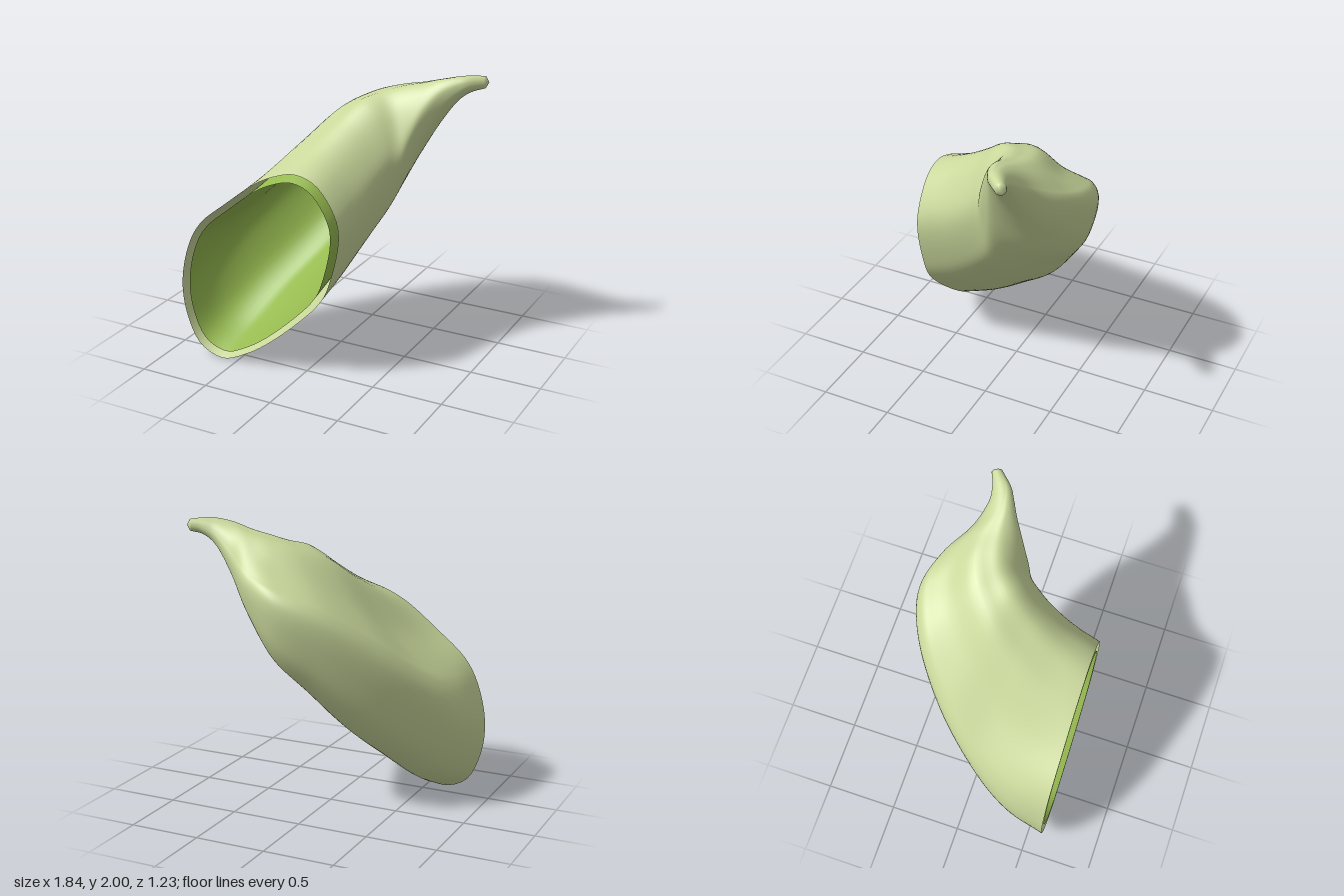
import * as THREE from 'three';

// Opening outline in the front plane (x, y), counter-clockwise from the right
const OPENING = [
  [0.3, 1.05], [0.27, 1.22], [0.15, 1.39], [0, 1.45], [-0.15, 1.42], [-0.33, 1.33],
  [-0.55, 1.16], [-0.75, 0.99], [-0.86, 0.8], [-0.92, 0.54], [-0.9, 0.3], [-0.8, 0.08],
  [-0.62, 0], [-0.45, 0.06], [-0.25, 0.19], [0, 0.41], [0.17, 0.6], [0.25, 0.8],
];

// Outline further back: the same, with a flatter upper left shoulder
const SHOULDER = [[-0.15, 1.38], [-0.33, 1.26], [-0.55, 0.97], [-0.75, 0.76], [-0.86, 0.64], [-0.92, 0.49]];
const BODY = [...OPENING.slice(0, 4), ...SHOULDER, ...OPENING.slice(10)];

// Sections fanning from the opening round to the stem:
// outer edge x, z, inner edge x, z, bottom y, top y, lean (rise towards the back)
const SECTIONS = [
  [-0.92, 0.61, 0.3, 0.61, 0, 1.45, 0],
  [-0.87, 0.33, 0.33, 0.4, 0.12, 1.57, 0.69],
  [-0.74, 0.06, 0.37, 0.23, 0.3, 1.715, 0.69],
  [-0.5, -0.25, 0.41, 0.12, 0.52, 1.875, 0.69],
  [-0.2, -0.5, 0.45, 0.06, 0.79, 1.95, 0.69],
  [0.1, -0.615, 0.5, 0.02, 1.04, 1.975, 0.5],
  [0.35, -0.55, 0.57, -0.04, 1.36, 1.96, 0.2],
  [0.55, -0.4, 0.66, -0.11, 1.62, 1.975, 0],
  [0.7, -0.33, 0.75, -0.165, 1.8, 1.995, 0],
  [0.8, -0.335, 0.82, -0.21, 1.88, 2.0, 0],
  [0.88, -0.365, 0.91, -0.3, 1.91, 1.99, 0],
];

const COLUMNS = 72;
const ROWS = 70;

// Outline scaled to -1..1 on both axes, sampled smoothly
function unitOutline(outline) {
  const curve = new THREE.CatmullRomCurve3(
    outline.map(([x, y]) => new THREE.Vector3((x + 0.31) / 0.61, y / 0.725 - 1, 0)), true, 'catmullrom');
  return Array.from({ length: COLUMNS }, (_, i) => curve.getPoint(i / COLUMNS));
}
const OPENING_UNIT = unitOutline(OPENING);
const BODY_UNIT = unitOutline(BODY);

// One cross-section, shrunk by inset on every side and rounder towards the stem
function sectionPoints([ox, oz, ix, iz, bottom, top, lean], k, inset) {
  const width = Math.hypot(ix - ox, iz - oz);
  const halfW = Math.max(width / 2 - inset, 0.008);
  const halfH = Math.max((top - bottom) / 2 - inset, 0.008);
  const dirX = (ix - ox) / width;
  const dirZ = (iz - oz) / width;
  const roundness = THREE.MathUtils.clamp((k - 5) / 5, 0, 1);
  return OPENING_UNIT.map((start, i) => {
    const p = start.clone().lerp(BODY_UNIT[i], Math.min(k * 0.6, 1));
    p.lerp(p.clone().normalize(), roundness);
    const u = p.x * halfW;
    return new THREE.Vector3(
      (ox + ix) / 2 + dirX * u,
      (bottom + top) / 2 + p.y * halfH - lean * dirZ * u,
      (oz + iz) / 2 + dirZ * u);
  });
}

// Smooth loft through the sections, closed at the far end
function loft(sections, inset, tip) {
  const rings = sections.map((s, k) => sectionPoints(s, k, inset));
  const columns = rings[0].map((_, i) => new THREE.CatmullRomCurve3(rings.map((ring) => ring[i]), false, 'catmullrom'));
  const positions = [];
  const indices = [];
  for (let j = 0; j <= ROWS; j++) {
    for (const column of columns) positions.push(...column.getPoint(j / ROWS).toArray());
  }
  const tipIndex = positions.length / 3;
  positions.push(...tip);
  for (let j = 0; j <= ROWS; j++) {
    for (let i = 0; i < COLUMNS; i++) {
      const a = j * COLUMNS + i;
      const b = j * COLUMNS + (i + 1) % COLUMNS;
      if (j === ROWS) indices.push(a, tipIndex, b);
      else indices.push(a, a + COLUMNS, b, b, a + COLUMNS, b + COLUMNS);
    }
  }
  const geometry = new THREE.BufferGeometry();
  geometry.setAttribute('position', new THREE.Float32BufferAttribute(positions, 3));
  geometry.setIndex(indices);
  geometry.computeVertexNormals();
  return geometry;
}

export function createModel() {
  const paleGreen = new THREE.MeshStandardMaterial({ color: 0xcad89c, side: THREE.DoubleSide });
  paleGreen.name = 'pale green skin';
  const leafGreen = new THREE.MeshStandardMaterial({ color: 0x96ba50, side: THREE.DoubleSide });
  leafGreen.name = 'leaf green lining';

  const model = new THREE.Group();
  model.name = 'hollow pod';

  // Outer skin, ending in the curled stem
  const skin = new THREE.Mesh(loft(SECTIONS, 0, [0.915, 1.95, -0.34]), paleGreen);
  skin.name = 'outerSkin';

  // Inner lining, with an open gap between it and the skin
  const lining = new THREE.Mesh(loft(SECTIONS.slice(0, 9), 0.06, [0.73, 1.9, -0.25]), leafGreen);
  lining.name = 'innerLining';

  model.add(skin, lining);
  return model;
}
